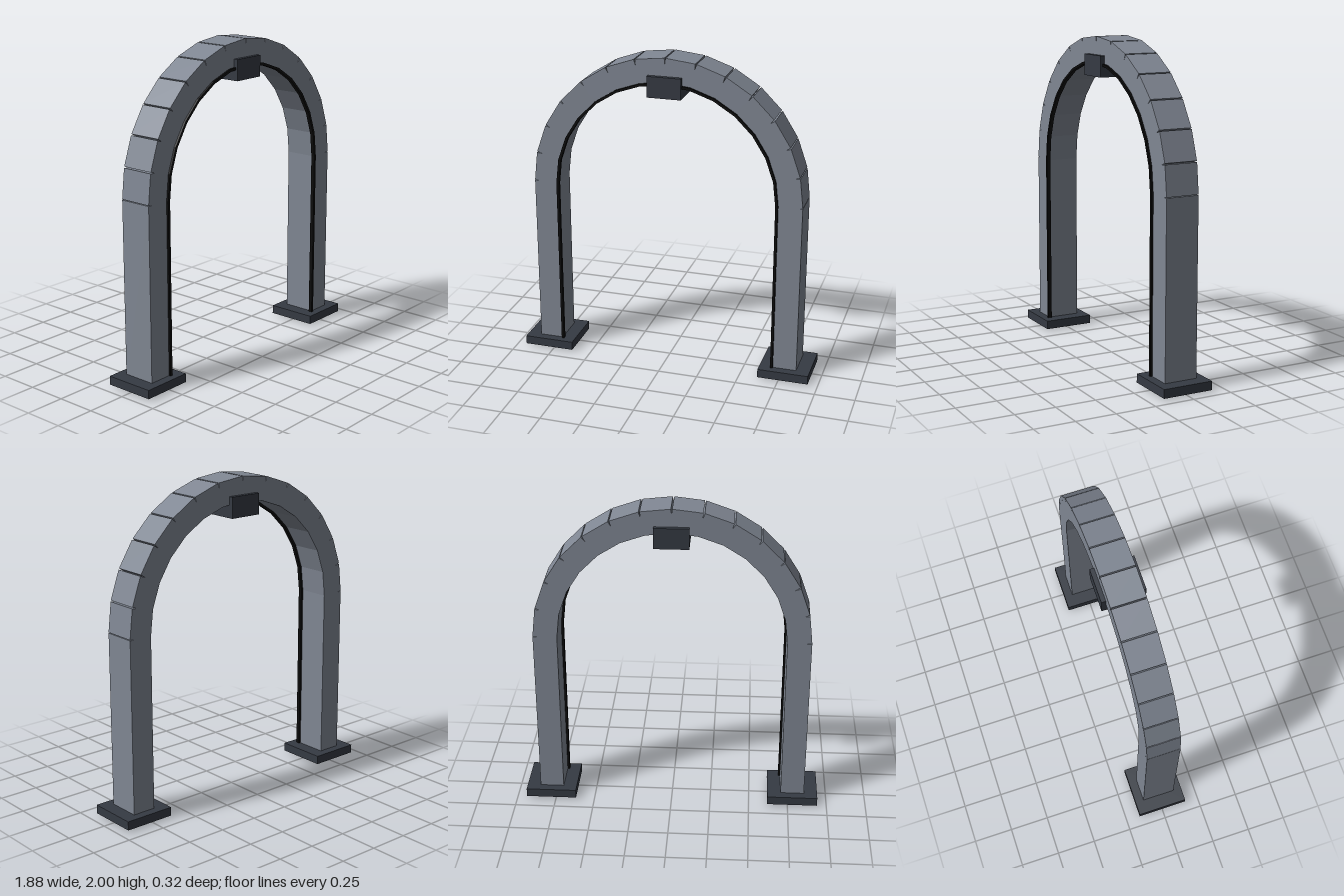
import * as THREE from 'three';

const SPRING = 1.147;   // height where the arch begins
const RADIUS = 0.779;   // centre line of pillars and arch
const WIDTH = 0.15;
const DEPTH = 0.21;
const BLOCKS = 14;

const material = (color) => new THREE.MeshStandardMaterial({ color, flatShading: true });
const stone = material(0x808793);
const dark = material(0x353a43);
const black = material(0x0a0a0a);

function box(name, size, position, mat, parent) {
  const mesh = new THREE.Mesh(new THREE.BoxGeometry(...size), mat);
  mesh.name = name;
  mesh.position.set(...position);
  parent.add(mesh);
  return mesh;
}

// Points of one edge of the trim: up one leg, round the arch, down the other
function trimEdge(r, foot) {
  const points = [new THREE.Vector2(r, foot)];
  for (let i = 0; i <= BLOCKS; i++) {
    const a = (i / BLOCKS) * Math.PI;
    points.push(new THREE.Vector2(Math.cos(a) * r, SPRING + Math.sin(a) * r));
  }
  points.push(new THREE.Vector2(-r, foot));
  return points;
}

export function createModel() {
  const model = new THREE.Group();
  model.name = 'archway';

  // Pillars standing through their foot plates
  for (const [side, s] of [['left', 1], ['right', -1]]) {
    box(side + 'Pillar', [WIDTH, SPRING, DEPTH], [s * RADIUS, SPRING / 2, 0], stone, model);
    box(side + 'FootPlate', [0.32, 0.055, 0.32], [s * RADIUS, 0.0375, 0], dark, model);
  }

  // Ring of straight blocks, open a little at the outer joints
  const arch = new THREE.Group();
  arch.name = 'archBlocks';
  model.add(arch);
  const step = Math.PI / BLOCKS;
  const r = RADIUS * Math.cos(step / 2);
  const length = 2 * RADIUS * Math.sin(step / 2) * 1.05;
  for (let i = 0; i < BLOCKS; i++) {
    const a = (i + 0.5) * step;
    const block = box('archBlock', [WIDTH, length, DEPTH],
      [Math.cos(a) * r, SPRING + Math.sin(a) * r, 0], stone, arch);
    block.rotation.z = a;
  }

  // Keystone block hanging at the crown
  box('keystone', [0.212, 0.13, 0.264], [0, 1.825, 0], dark, model);

  // Black trim along the inner front edge
  const outline = new THREE.Shape([...trimEdge(0.706, 0.03), ...trimEdge(0.69, 0.03).reverse()]);
  const trim = new THREE.Mesh(
    new THREE.ExtrudeGeometry(outline, { depth: 0.024, bevelEnabled: false }), black);
  trim.name = 'innerTrim';
  trim.position.z = 0.094;
  model.add(trim);

  return model;
}
